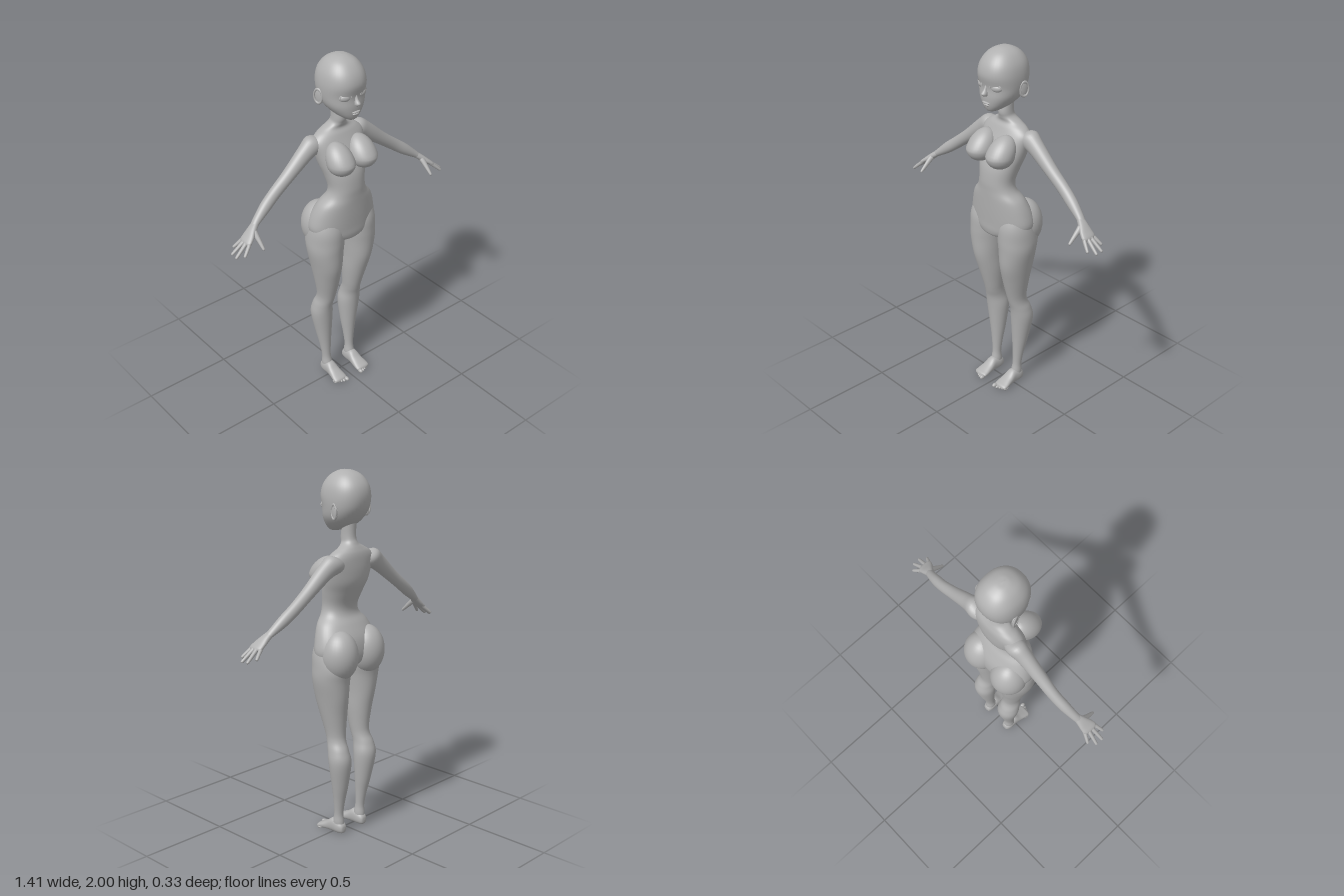
import * as THREE from 'three';

const skin = new THREE.MeshStandardMaterial({ color: 0xb0b0b0 });
skin.name = 'plainGrey';
const V = (x, y, z) => new THREE.Vector3(x, y, z);
const DOWN = V(0, -1, 0), X = V(1, 0, 0), Z = V(0, 0, 1);

// Smooth skin through rings [cx, cy, cz, ru, rv]; rings lie across dir, rv points along side
function loft(rows, dir, side = Z, k = 2, n = 32, sub = 5) {
  const d = dir.clone().normalize();
  const u = side.clone().cross(d).normalize();
  const v = d.clone().cross(u);
  const centres = new THREE.CatmullRomCurve3(rows.map(r => V(r[0], r[1], r[2])), false, 'catmullrom');
  const radii = new THREE.CatmullRomCurve3(rows.map(r => V(r[3], r[4], 0)), false, 'catmullrom');
  const steps = (rows.length - 1) * sub, pos = [], idx = [];
  const bulge = c => Math.sign(c) * Math.abs(c) ** (2 / k);
  for (let i = 0; i <= steps; i++) {
    const c = centres.getPoint(i / steps), r = radii.getPoint(i / steps);
    for (let j = 0; j < n; j++) {
      const a = j / n * Math.PI * 2;
      const p = c.clone().addScaledVector(u, Math.max(r.x, 0.0002) * bulge(Math.cos(a)))
        .addScaledVector(v, Math.max(r.y, 0.0002) * bulge(Math.sin(a)));
      pos.push(p.x, p.y, p.z);
      if (i < steps) {
        const p0 = i * n + j, p1 = i * n + (j + 1) % n;
        idx.push(p0, p1, p0 + n, p1, p1 + n, p0 + n);
      }
    }
  }
  const g = new THREE.BufferGeometry();
  g.setAttribute('position', new THREE.Float32BufferAttribute(pos, 3));
  g.setIndex(idx);
  g.computeVertexNormals();
  return g;
}

// Upright body rows: height, left/right edge, front, back
const slab = ([y, x0, x1, f, b]) => [(x0 + x1) / 2, y, (f + b) / 2, (x1 - x0) / 2, (f - b) / 2];
const centred = ([y, w, f, b]) => slab([y, -w, w, f, b]);

// Rounded-tip limb between two points
function digit(a, b, r0, r1) {
  const at = (t, r) => [...a.clone().lerp(b, t).toArray(), r, r];
  return loft([at(0, r0), at(0.45, (r0 + r1) / 2), at(0.9, r1), at(0.98, r1 * 0.6), at(1, 0)], b.clone().sub(a), Z, 2, 10, 3);
}

function ball(x, y, z, rx, ry, rz, turn = 0) {
  return new THREE.SphereGeometry(1, 32, 20).scale(rx, ry, rz).rotateY(turn).translate(x, y, z);
}

function mirrored(geo) {
  const g = geo.clone().scale(-1, 1, 1), i = g.index.array;
  for (let t = 0; t < i.length; t += 3) [i[t], i[t + 1]] = [i[t + 1], i[t]];
  g.computeVertexNormals();
  return g;
}

export function createModel() {
  const model = new THREE.Group();
  model.name = 'mannequin';
  const add = (name, geo) => {
    const m = new THREE.Mesh(geo, skin);
    m.name = name;
    model.add(m);
  };
  const pair = (name, geo) => {
    add(name + 'Left', geo);
    add(name + 'Right', mirrored(geo));
  };

  // Head
  add('head', loft([
    [2.0, 0, 0, -0.01], [1.994, 0.036, 0.032, -0.05], [1.97, 0.075, 0.076, -0.095],
    [1.925, 0.105, 0.112, -0.13], [1.87, 0.117, 0.126, -0.141], [1.81, 0.115, 0.114, -0.13],
    [1.76, 0.103, 0.116, -0.1], [1.72, 0.076, 0.113, -0.06], [1.693, 0.046, 0.105, -0.005],
    [1.68, 0.022, 0.094, 0.045], [1.676, 0, 0.075, 0.065],
  ].map(centred), DOWN, Z, 2.25, 40));

  // Face
  add('nose', loft([
    [0, 1.83, 0.1, 0.008, 0.012], [0, 1.8, 0.112, 0.009, 0.014],
    [0, 1.78, 0.123, 0.014, 0.019], [0, 1.768, 0.118, 0.012, 0.014], [0, 1.762, 0.112, 0, 0],
  ], DOWN, Z, 2, 16));
  add('upperLip', ball(0, 1.73, 0.112, 0.026, 0.006, 0.011));
  add('lowerLip', ball(0, 1.718, 0.109, 0.021, 0.007, 0.011));
  pair('eye', ball(0.056, 1.813, 0.091, 0.03, 0.02, 0.017, 0.42));
  const lid = new THREE.TorusGeometry(0.03, 0.0035, 8, 24, Math.PI).scale(1.03, 0.72, 1);
  pair('upperEyelid', lid.rotateY(0.42).translate(0.057, 1.814, 0.1));

  // Ears
  pair('ear', ball(0.113, 1.793, -0.037, 0.009, 0.042, 0.026, -0.2));
  const rim = new THREE.TorusGeometry(0.025, 0.005, 8, 28).scale(0.95, 1.5, 1);
  pair('earRim', rim.rotateY(Math.PI / 2 - 0.3).translate(0.12, 1.795, -0.038));

  // Neck, torso and pelvis
  add('torso', loft([
    [1.75, 0.037, 0.0, -0.07], [1.66, 0.036, 0.016, -0.068], [1.625, 0.044, 0.01, -0.078],
    [1.6, 0.085, 0.004, -0.09], [1.575, 0.13, 0.018, -0.1], [1.54, 0.158, 0.035, -0.105],
    [1.48, 0.148, 0.065, -0.107], [1.42, 0.134, 0.09, -0.1], [1.36, 0.117, 0.11, -0.075],
    [1.29, 0.104, 0.118, -0.045], [1.24, 0.118, 0.117, -0.045], [1.19, 0.162, 0.115, -0.075],
    [1.12, 0.192, 0.112, -0.11], [1.05, 0.203, 0.108, -0.12], [1.0, 0.17, 0.105, -0.11],
    [0.97, 0.09, 0.09, -0.08], [0.955, 0, 0.03, 0.0],
  ].map(centred), DOWN, Z, 2.15, 48));

  // Chest: upper half drawn out and swept back into the torso
  const chest = ball(0, 0, 0, 0.073, 0.07, 0.08);
  const p = chest.attributes.position;
  for (let i = 0; i < p.count; i++) {
    const y = p.getY(i);
    if (y > 0) p.setXYZ(i, p.getX(i), y * 1.4, p.getZ(i) - y * 0.6);
  }
  chest.translate(0.074, 1.455, 0.085).computeVertexNormals();
  pair('chest', chest);
  pair('seat', ball(0.102, 1.035, -0.06, 0.101, 0.136, 0.103));

  // Legs
  pair('leg', loft([
    [1.14, 0.04, 0.17, 0.07, -0.08], [1.05, 0.01, 0.2, 0.1, -0.1], [0.97, 0.006, 0.209, 0.104, -0.125],
    [0.9, 0.015, 0.207, 0.102, -0.114], [0.8, 0.025, 0.186, 0.095, -0.105], [0.7, 0.03, 0.165, 0.07, -0.09],
    [0.6, 0.04, 0.145, 0.042, -0.08], [0.55, 0.045, 0.143, 0.028, -0.085], [0.5, 0.045, 0.154, 0.014, -0.107],
    [0.43, 0.036, 0.16, 0.005, -0.122], [0.3, 0.045, 0.138, -0.005, -0.1], [0.2, 0.055, 0.12, -0.01, -0.076],
    [0.12, 0.06, 0.11, -0.01, -0.062], [0.07, 0.055, 0.112, 0.0, -0.066], [0.03, 0.057, 0.108, 0.0, -0.066],
  ].map(slab), DOWN));

  // Feet
  pair('foot', loft([
    [0.082, 0.03, -0.076, 0, 0], [0.082, 0.031, -0.071, 0.023, 0.02], [0.083, 0.038, -0.045, 0.037, 0.031],
    [0.083, 0.042, 0, 0.042, 0.032], [0.083, 0.029, 0.04, 0.028, 0.037], [0.084, 0.019, 0.078, 0.018, 0.042],
    [0.084, 0.014, 0.1, 0.012, 0.037], [0.084, 0.012, 0.108, 0, 0],
  ], Z, X, 2.3));
  for (let i = 0; i < 5; i++) {
    const r = i ? 0.0085 : 0.012;
    pair('toe' + (i + 1), ball(0.053 + i * 0.0155 + (i ? 0.004 : 0), r, 0.11 - i * 0.007, r, r, 0.017));
  }

  // Arms
  pair('arm', loft([
    [0.085, 1.535, -0.055, 0.03, 0.03], [0.135, 1.53, -0.055, 0.057, 0.05], [0.2, 1.495, -0.05, 0.047, 0.042],
    [0.31, 1.41, -0.046, 0.036, 0.034], [0.4, 1.343, -0.043, 0.033, 0.03], [0.47, 1.292, -0.034, 0.031, 0.029],
    [0.53, 1.248, -0.022, 0.022, 0.024], [0.56, 1.226, -0.014, 0.016, 0.022],
  ], V(0.8, -0.6, 0)));

  // Hands
  pair('palm', loft([
    [0.545, 1.237, -0.016, 0.016, 0.02], [0.575, 1.213, -0.006, 0.017, 0.029], [0.605, 1.188, 0.003, 0.015, 0.039],
    [0.63, 1.168, 0.008, 0.012, 0.039], [0.642, 1.158, 0.009, 0, 0],
  ], V(0.8, -0.65, 0), Z, 2.4, 24));
  [
    ['littleFinger', V(0.615, 1.176, -0.022), V(0.67, 1.127, -0.045)],
    ['ringFinger', V(0.625, 1.172, -0.004), V(0.703, 1.112, -0.012)],
    ['middleFinger', V(0.625, 1.172, 0.016), V(0.705, 1.11, 0.028)],
    ['indexFinger', V(0.615, 1.178, 0.033), V(0.674, 1.122, 0.062)],
    ['thumb', V(0.573, 1.208, 0.01), V(0.573, 1.138, 0.09)],
  ].forEach(([name, a, b], i) => pair(name, digit(a, b, i === 4 ? 0.016 : 0.0115, 0.008)));

  return model;
}
